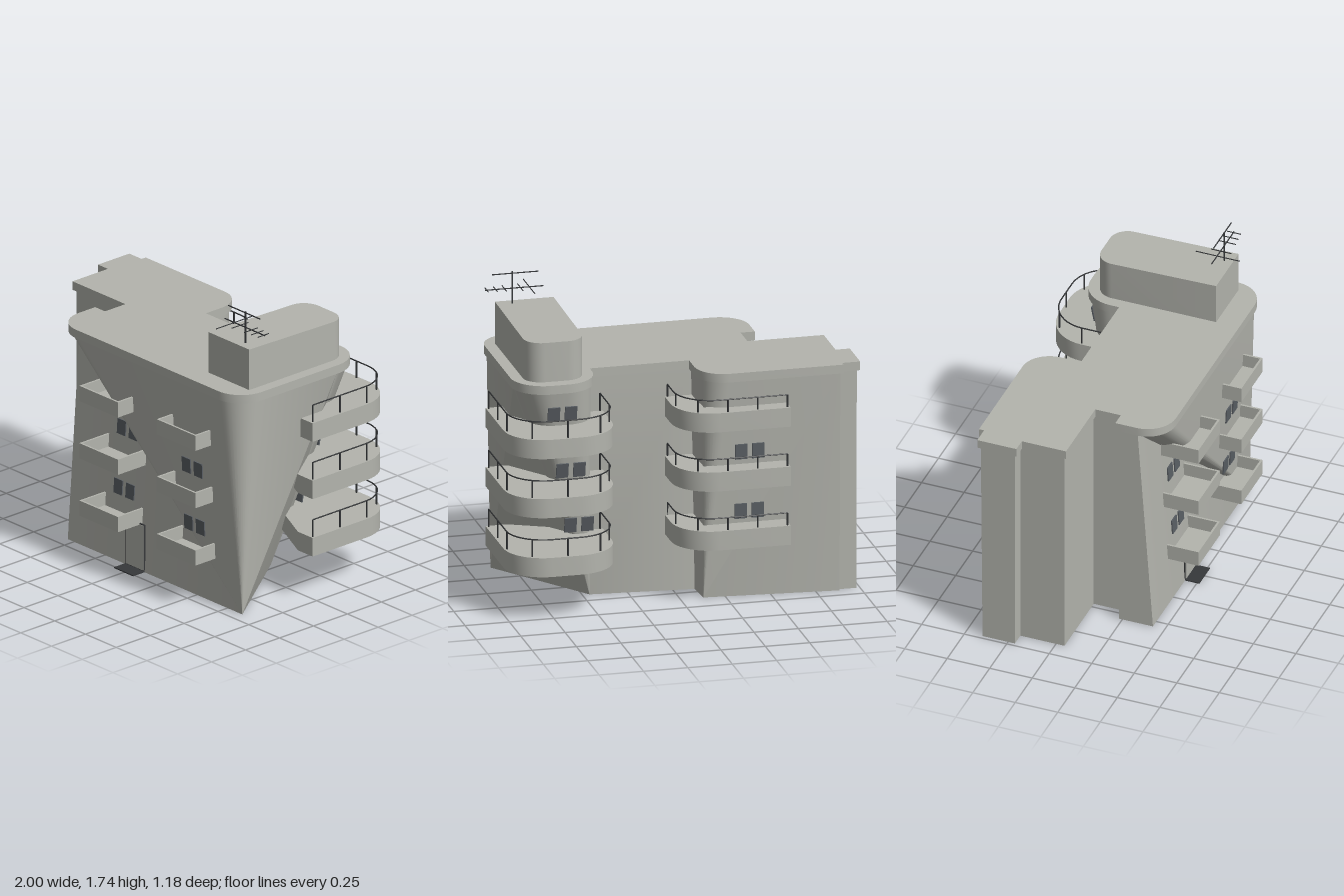
import * as THREE from 'three';
import { toCreasedNormals } from 'three/addons/utils/BufferGeometryUtils.js';

const PI = Math.PI;
const material = (name, color, side = THREE.FrontSide) =>
  Object.assign(new THREE.MeshStandardMaterial({ color, side }), { name });

// Points of an arc in plan, as [x, z]
function arc(cx, cz, rx, rz, from, to, n = 10) {
  return Array.from({ length: n + 1 }, (_, i) => {
    const a = from + (to - from) * i / n;
    return [cx + rx * Math.cos(a), cz + rz * Math.sin(a)];
  });
}

// Plan at roof level, grown by o; each run of points belongs to one corner on the ground
const roofRuns = (o) => [
  [[-0.55 - o, 0.34]],
  [...arc(-0.4, 0.34, 0.15 + o, 0.15 + o, PI, PI / 2),
    ...arc(0.76, 0.34, 0.15 + o, 0.15 + o, PI / 2, 0), [0.91 + o, -0.23]],
  [...arc(0.74, -0.23, 0.17 + o, 0.17 + o, 0, -PI / 2),
    ...arc(0.65, -0.23, 0.17 + o, 0.17 + o, -PI / 2, -PI), [0.48 - o, -0.16 - o]],
  [[-0.11 + o, -0.16 - o]],
  arc(-0.25, -0.29, 0.14 + o, 0.15 + o, 0, -PI / 2),
  [[-0.88 - o, -0.44 - o]], [[-0.88 - o, -0.41 - o]], [[-0.98 - o, -0.41 - o]],
  [[-0.98 - o, -0.21 + o]], [[-0.9 - o, -0.21 + o]], [[-0.9 - o, 0.05 + o]],
  [[-0.47 - o, 0.05 + o]], [[-0.47 - o, 0.23 - o]], [[-0.55 - o, 0.23 - o]],
];
const ground = [
  [-0.55, 0.43], [0.87, 0.43], [0.46, -0.15], [-0.12, -0.2], [-0.13, -0.355],
  [-0.88, -0.42], [-0.88, -0.4], [-0.98, -0.4], [-0.98, -0.21], [-0.9, -0.21],
  [-0.9, 0.05], [-0.47, 0.05], [-0.47, 0.23], [-0.55, 0.23],
];

// Walls: every ground corner fans out to its run of roof points
function wallGeometry(height) {
  const runs = roofRuns(0), pos = [];
  const lo = (p) => [p[0], 0, p[1]], hi = (p) => [p[0], height, p[1]];
  const same = (a, b) => Math.hypot(a[0] - b[0], a[1] - b[1]) < 1e-5;
  ground.forEach((b, i) => {
    const j = (i + 1) % ground.length, run = runs[i], next = runs[j][0];
    for (let k = 0; k + 1 < run.length; k++) {
      if (!same(run[k], run[k + 1])) pos.push(...lo(b), ...hi(run[k + 1]), ...hi(run[k]));
    }
    const last = run[run.length - 1];
    pos.push(...lo(b), ...lo(ground[j]), ...hi(next));
    if (!same(last, next)) pos.push(...lo(b), ...hi(next), ...hi(last));
  });
  const flat = ground.map(([x, z]) => new THREE.Vector2(x, -z));
  for (const [a, b, c] of THREE.ShapeUtils.triangulateShape(flat, [])) {
    pos.push(...lo(ground[a]), ...lo(ground[c]), ...lo(ground[b]));
  }
  const g = new THREE.BufferGeometry();
  g.setAttribute('position', new THREE.Float32BufferAttribute(pos, 3));
  return toCreasedNormals(g, 0.4);
}

// Upright slab from a plan outline
function slabGeometry(points, y0, y1) {
  const clean = points.filter((p, i) => {
    const q = points[(i + 1) % points.length];
    return Math.hypot(p[0] - q[0], p[1] - q[1]) > 1e-4;
  });
  const shape = new THREE.Shape(clean.map(([x, z]) => new THREE.Vector2(x, -z)));
  const g = new THREE.ExtrudeGeometry(shape, { depth: y1 - y0, bevelEnabled: false });
  return toCreasedNormals(g.rotateX(-PI / 2).translate(0, y0, 0), 0.5);
}

export function createModel() {
  const model = new THREE.Group();
  model.name = 'apartmentBuilding';
  const concrete = material('concrete', 0xb3b4ad);
  const glass = material('windowGlass', 0x5a5f64);
  const metal = material('darkMetal', 0x36383a);

  const add = (name, geometry, mat, parent = model) => {
    const mesh = new THREE.Mesh(geometry, mat);
    mesh.name = name;
    parent.add(mesh);
    return mesh;
  };
  const box = (name, x0, x1, y0, y1, z0, z1, mat, parent) => {
    const mesh = add(name, new THREE.BoxGeometry(x1 - x0, y1 - y0, z1 - z0), mat, parent);
    mesh.position.set((x0 + x1) / 2, (y0 + y1) / 2, (z0 + z1) / 2);
    return mesh;
  };
  const windowPair = (x, y, z, tilt = 0) => {
    for (const s of [-0.048, 0.048]) {
      box('window', x + s - 0.034, x + s + 0.034, y - 0.043, y + 0.043, z - 0.004, z + 0.004, glass)
        .rotation.x = tilt;
    }
  };

  // Main body and roof
  add('walls', wallGeometry(1.26), concrete);
  add('roofSlab', slabGeometry(roofRuns(0.015).flat(), 1.26, 1.31), concrete);

  // Roof house with a rounded back and a top that falls slightly to the rear
  const house = slabGeometry([[0.53, 0.37], [0.86, 0.37],
    ...arc(0.76, -0.245, 0.1, 0.1, 0, -PI / 2), ...arc(0.63, -0.245, 0.1, 0.1, -PI / 2, -PI)], 1.31, 1.55);
  const hp = house.attributes.position;
  for (let i = 0; i < hp.count; i++) {
    if (hp.getY(i) > 1.5) hp.setY(i, 1.55 - (0.37 - hp.getZ(i)) * 0.02);
  }
  add('roofHouse', house, concrete);

  // Front balconies: open trays
  for (const y of [0.27, 0.61, 0.95]) {
    for (const x of [-0.28, 0.35]) {
      const tray = new THREE.Group();
      tray.name = 'frontBalcony';
      model.add(tray);
      const w = x + 0.315, z0 = 0.37, z1 = 0.59;
      box('floor', x, w, y, y + 0.015, z0, z1, concrete, tray);
      box('frontParapet', x, w, y + 0.015, y + 0.09, z1 - 0.012, z1, concrete, tray);
      box('sideParapet', x, x + 0.012, y + 0.015, y + 0.09, z0, z1 - 0.012, concrete, tray);
      box('sideParapet', w - 0.012, w, y + 0.015, y + 0.09, z0, z1 - 0.012, concrete, tray);
    }
  }

  // Rear balconies: rounded slabs with a thin rail on posts
  const towerEdge = (i) => [[0.39 + i, -0.17],
    ...arc(0.62, -0.37, 0.23 - i, 0.22 - i, -PI, -PI / 2),
    ...arc(0.78, -0.37, 0.22 - i, 0.22 - i, -PI / 2, 0), [1 - i, 0.03 - i]];
  const rearEdge = (i) => [[-0.58 + i, -0.52 + i],
    ...arc(-0.18, -0.3, 0.22 - i, 0.22 - i, -PI / 2, 0), [0.04 - i, -0.17]];
  const railedBalcony = (name, edge, inner, y, railHeight, posts) => {
    const g = new THREE.Group();
    g.name = name;
    model.add(g);
    add('slab', slabGeometry([...edge(0), ...inner], y, y + 0.11), concrete, g);
    const top = y + 0.11 + railHeight, path = new THREE.CurvePath();
    const pts = edge(0.015).map(([x, z]) => new THREE.Vector3(x, top, z));
    for (let i = 0; i + 1 < pts.length; i++) {
      if (pts[i].distanceTo(pts[i + 1]) > 1e-4) path.add(new THREE.LineCurve3(pts[i], pts[i + 1]));
    }
    add('rail', new THREE.TubeGeometry(path, 60, 0.004, 5), metal, g);
    for (let i = 0; i <= posts; i++) {
      const p = path.getPointAt(i / posts);
      add('railPost', new THREE.CylinderGeometry(0.005, 0.005, railHeight, 6), metal, g)
        .position.set(p.x, top - railHeight / 2, p.z);
    }
  };
  for (const y of [0.27, 0.61, 0.95]) {
    railedBalcony('towerBalcony', towerEdge, [[0.88, 0.03], [0.46, -0.17]], y, 0.1, 7);
    railedBalcony('rearBalcony', rearEdge, [[-0.12, -0.17], [-0.12, -0.4], [-0.58, -0.4]],
      y + 0.05, 0.07, 5);
  }

  // Windows: left ones sit on the receding wall, right ones on the leaning wall
  for (const y of [0.425, 0.77]) {
    windowPair(-0.12, y, 0.433 - y * 0.0714, -0.0714);
    windowPair(0.508, y, 0.433 + y * 0.0476, 0.0476);
    windowPair(-0.37, y + 0.08, -0.412 - y * 0.03, -0.03);
  }
  for (const y of [0.44, 0.78, 1.13]) {
    const t = y / 1.26;
    windowPair(0.46 + 0.235 * t, y, -0.154 - 0.25 * t, -0.195);
  }

  // Entrance
  box('doorFrame', -0.08, 0.075, 0.005, 0.28, 0.425, 0.433, metal);
  box('door', -0.075, 0.07, 0.01, 0.275, 0.427, 0.436, concrete);
  box('doorstep', -0.08, 0.075, 0, 0.006, 0.4, 0.515, metal);

  // Aerial: mast, two booms and their cross rods
  const aerial = new THREE.Group();
  aerial.name = 'aerial';
  model.add(aerial);
  box('mast', 0.771, 0.779, 1.53, 1.735, 0.316, 0.324, metal, aerial);
  box('lowerBoom', 0.6, 0.93, 1.636, 1.641, 0.313, 0.318, metal, aerial);
  box('upperBoom', 0.63, 0.89, 1.722, 1.727, 0.313, 0.318, metal, aerial);
  [[0.68, 0.13], [0.73, 0.06], [0.82, 0.05], [0.87, 0.045], [0.92, 0.04]].forEach(([x, h]) =>
    box('crossRod', x - 0.002, x + 0.002, 1.637, 1.641, 0.32 - h, 0.32 + h, metal, aerial));
  return model;
}
